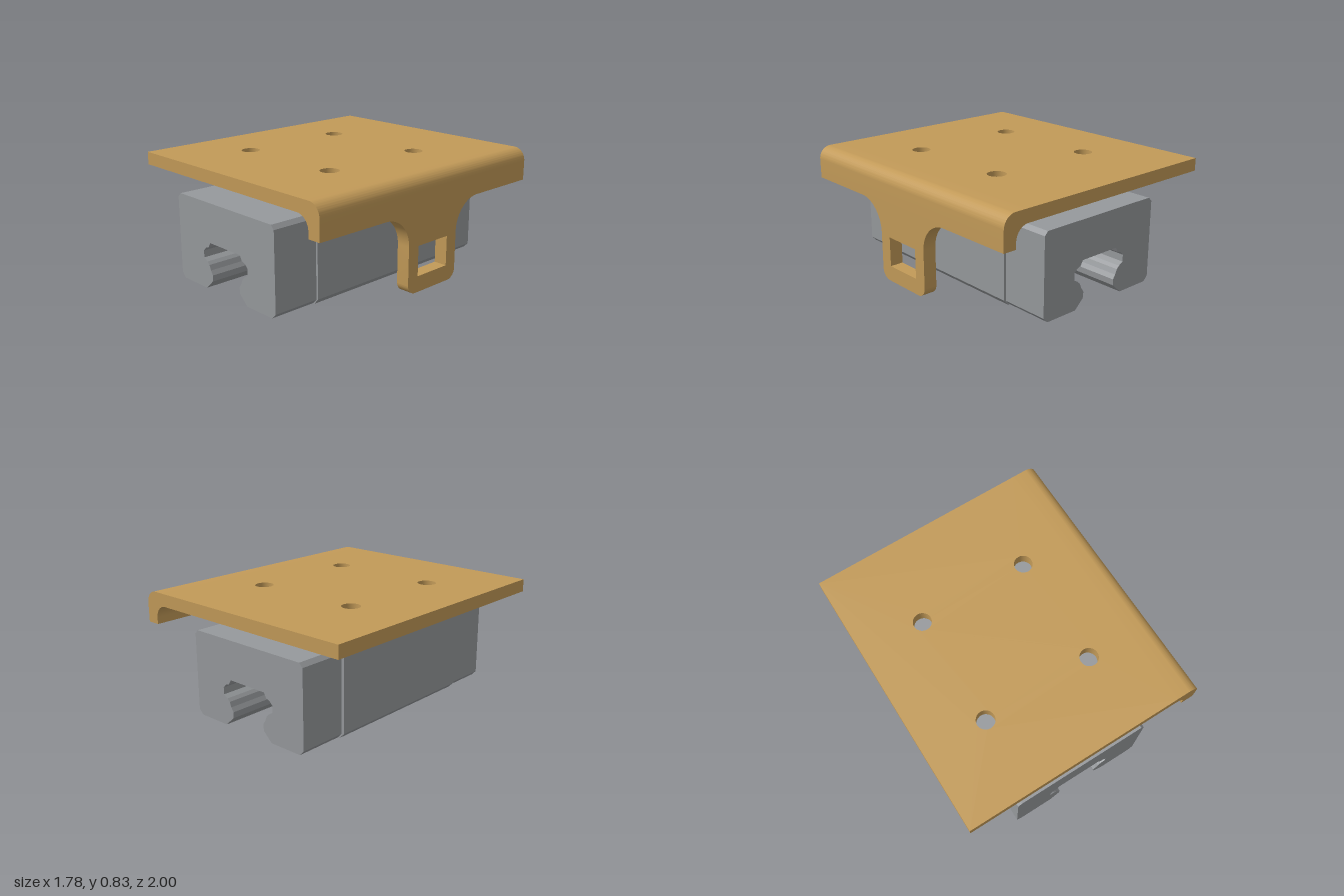
import * as THREE from 'three';
import { toCreasedNormals } from 'three/addons/utils/BufferGeometryUtils.js';

const brass = new THREE.MeshStandardMaterial({ color: 0xc29a58 });
brass.name = 'brass';
const steel = new THREE.MeshStandardMaterial({ color: 0x96999c });
steel.name = 'steel grey';

const extrude = (shape, depth) =>
  new THREE.ExtrudeGeometry(shape, { depth, bevelEnabled: false, curveSegments: 16 });
const shapeOf = (points) => new THREE.Shape(points.map(([x, y]) => new THREE.Vector2(x, y)));

// Half of the rail channel: distance from its centre line, height
const CHANNEL_X = -0.02;
const channel = [
  [0.22, 0], [0.15, 0.065], [0.145, 0.11], [0.165, 0.14], [0.18, 0.175], [0.2, 0.195],
  [0.235, 0.215], [0.235, 0.265], [0.21, 0.29], [0.18, 0.3], [0.16, 0.335],
];
// Full channel path, from the left foot over to the right foot
const channelPath = [
  ...channel.map(([d, y]) => [CHANNEL_X - d, y]),
  ...channel.map(([d, y]) => [CHANNEL_X + d, y]).reverse(),
];

export function createModel() {
  const model = new THREE.Group();
  model.name = 'railCarriageWithBracket';
  const add = (name, geometry, material) => {
    const mesh = new THREE.Mesh(geometry, material);
    mesh.name = name;
    model.add(mesh);
  };

  // Carriage block with shallow top grooves and a step on its right flank
  const block = shapeOf([
    ...channelPath,
    [0.465, 0], [0.5, 0.04], [0.5, 0.55], [0.51, 0.56], [0.51, 0.715], [0.475, 0.745],
    [0.26, 0.745], [0.245, 0.728], [0.085, 0.728], [0.07, 0.745],
    [-0.115, 0.745], [-0.13, 0.728], [-0.285, 0.728], [-0.3, 0.745],
    [-0.52, 0.745], [-0.55, 0.715], [-0.55, 0.04], [-0.51, 0],
  ]);
  add('carriageBlock', extrude(block, 1.23).translate(0, 0, -0.57), steel);

  // End caps, lower and slightly narrower than the block
  const cap = shapeOf([
    ...channelPath,
    [0.45, 0], [0.485, 0.035], [0.485, 0.585], [0.46, 0.613],
    [-0.5, 0.613], [-0.528, 0.585], [-0.528, 0.035], [-0.495, 0],
  ]);
  add('frontEndCap', extrude(cap, 0.34).translate(0, 0, 0.66), steel);
  add('rearEndCap', extrude(cap, 0.35).translate(0, 0, -0.92), steel);

  // Flat plate with four screw holes
  const plate = shapeOf([[-0.89, -1], [0.7, -1], [0.7, 1], [-0.89, 1]]);
  for (const x of [-0.43, 0.385]) {
    for (const z of [-0.37, 0.445]) {
      plate.holes.push(new THREE.Path().absarc(x, z, 0.065, 0, Math.PI * 2, true));
    }
  }
  const plateGeometry = extrude(plate, 0.09).rotateX(Math.PI / 2).translate(0, 0.835, 0);
  add('topPlate', toCreasedNormals(plateGeometry, 0.5), brass);

  // Rounded bend and short downward flange along the right edge
  const bend = new THREE.Shape();
  bend.moveTo(0.7, 0.745);
  bend.absarc(0.7, 0.65, 0.095, Math.PI / 2, 0, true);
  bend.lineTo(0.795, 0.605);
  bend.lineTo(0.89, 0.605);
  bend.absarc(0.8, 0.745, 0.09, 0, Math.PI / 2, false);
  bend.lineTo(0.7, 0.835);
  add('bentFlange', toCreasedNormals(extrude(bend, 2).translate(0, 0, -1), 0.5), brass);

  // Hanging tab with flared shoulders, rounded foot and a square window
  const tab = new THREE.Shape();
  tab.moveTo(-0.45, 0.605);
  tab.absarc(-0.45, 0.39, 0.215, Math.PI / 2, 0, true);
  tab.absarc(-0.165, 0.13, 0.07, Math.PI, Math.PI * 1.5, false);
  tab.absarc(0.165, 0.13, 0.07, -Math.PI / 2, 0, false);
  tab.absarc(0.45, 0.39, 0.215, Math.PI, Math.PI / 2, true);
  tab.holes.push(shapeOf([[-0.143, 0.17], [-0.143, 0.378], [0.143, 0.378], [0.143, 0.17]]));
  const tabGeometry = extrude(tab, 0.095).rotateY(Math.PI / 2).translate(0.795, 0, 0);
  add('hangingTab', toCreasedNormals(tabGeometry, 0.5), brass);

  return model;
}
